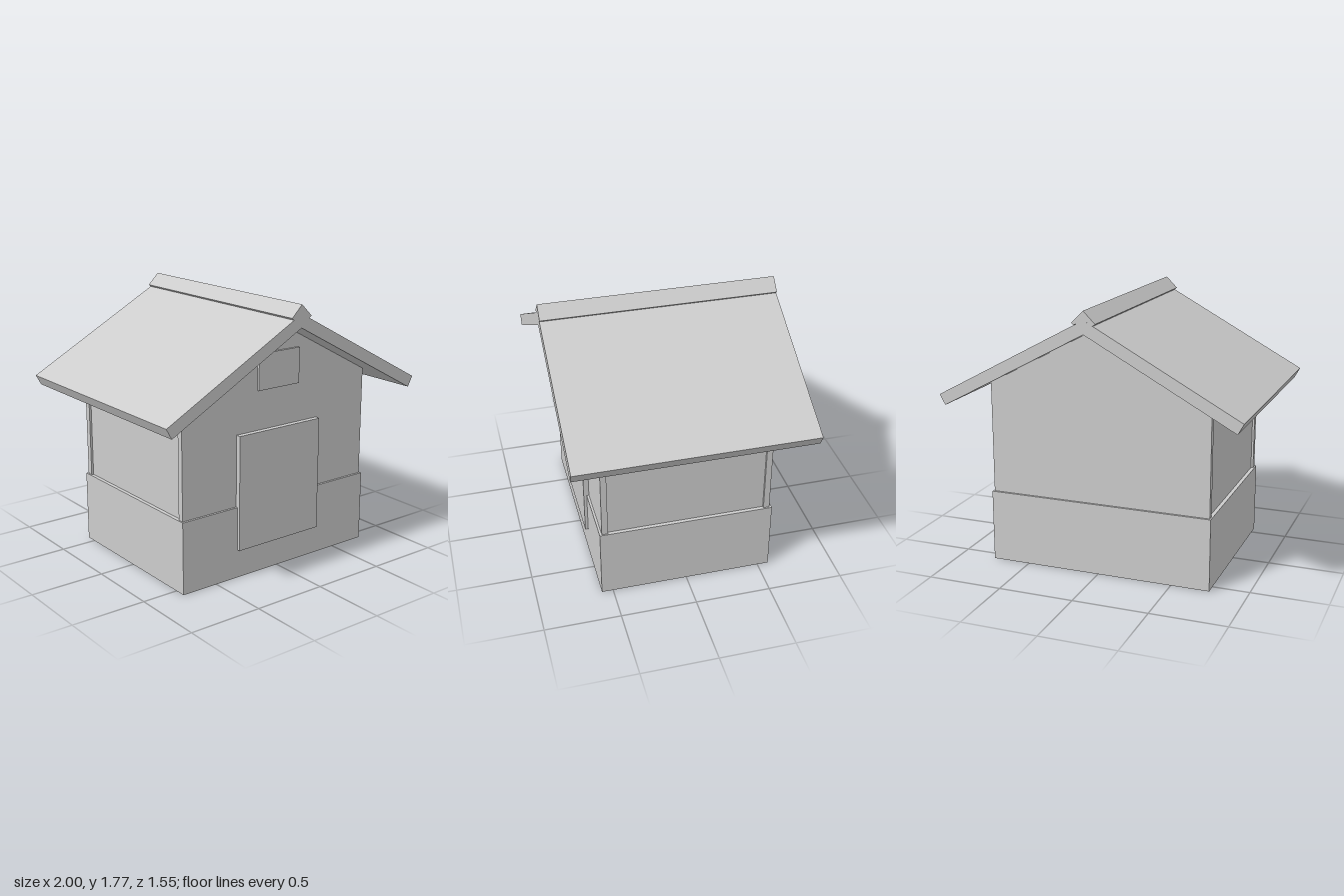
import * as THREE from 'three';

export function createModel() {
  const house = new THREE.Group();
  house.name = 'house';
  const grey = new THREE.MeshStandardMaterial({ color: 0xcccccc });
  grey.name = 'light grey';

  const add = (name, geometry) => {
    const mesh = new THREE.Mesh(geometry, grey);
    mesh.name = name;
    house.add(mesh);
    return mesh;
  };
  // Box given by its extents
  const box = (name, x, y0, y1, z0, z1) =>
    add(name, new THREE.BoxGeometry(2 * x, y1 - y0, z1 - z0))
      .position.set(0, (y0 + y1) / 2, (z0 + z1) / 2);
  // Outline in x and y, extruded along z
  const prism = (name, points, z0, z1) => {
    const shape = new THREE.Shape(points.map(([x, y]) => new THREE.Vector2(x, y)));
    add(name, new THREE.ExtrudeGeometry(shape, { depth: z1 - z0, bevelEnabled: false }))
      .position.z = z0;
  };

  const apex = 1.625;
  const slope = 0.541;
  const gable = (x) => [[-x, 0.46], [x, 0.46], [x, apex - slope * x], [0, apex], [-x, apex - slope * x]];

  // Plinth and walls
  box('base', 0.755, 0, 0.48, -0.575, 0.575);
  prism('sideWalls', gable(0.73), -0.52, 0.52);
  prism('frontWall', gable(0.745), 0.52, 0.56);
  prism('backWall', gable(0.745), -0.56, -0.52);

  // Door and gable window
  box('door', 0.33, 0.19, 0.955, 0.555, 0.595);
  box('window', 0.165, 1.215, 1.45, 0.555, 0.575);

  // Two roof slopes, meeting at the ridge
  for (const [name, s] of [['leftRoof', 1], ['rightRoof', -1]]) {
    prism(name, [[0, apex], [s * 0.963, 1.104], [s, 1.172], [0, 1.713]], -0.775, 0.775);
  }

  // Square bar set on edge along the ridge
  prism('ridgeCap', [[0, 1.77], [-0.077, 1.693], [-0.062, 1.68], [0, 1.713], [0.062, 1.68], [0.077, 1.693]],
    -0.775, 0.775);

  return house;
}
